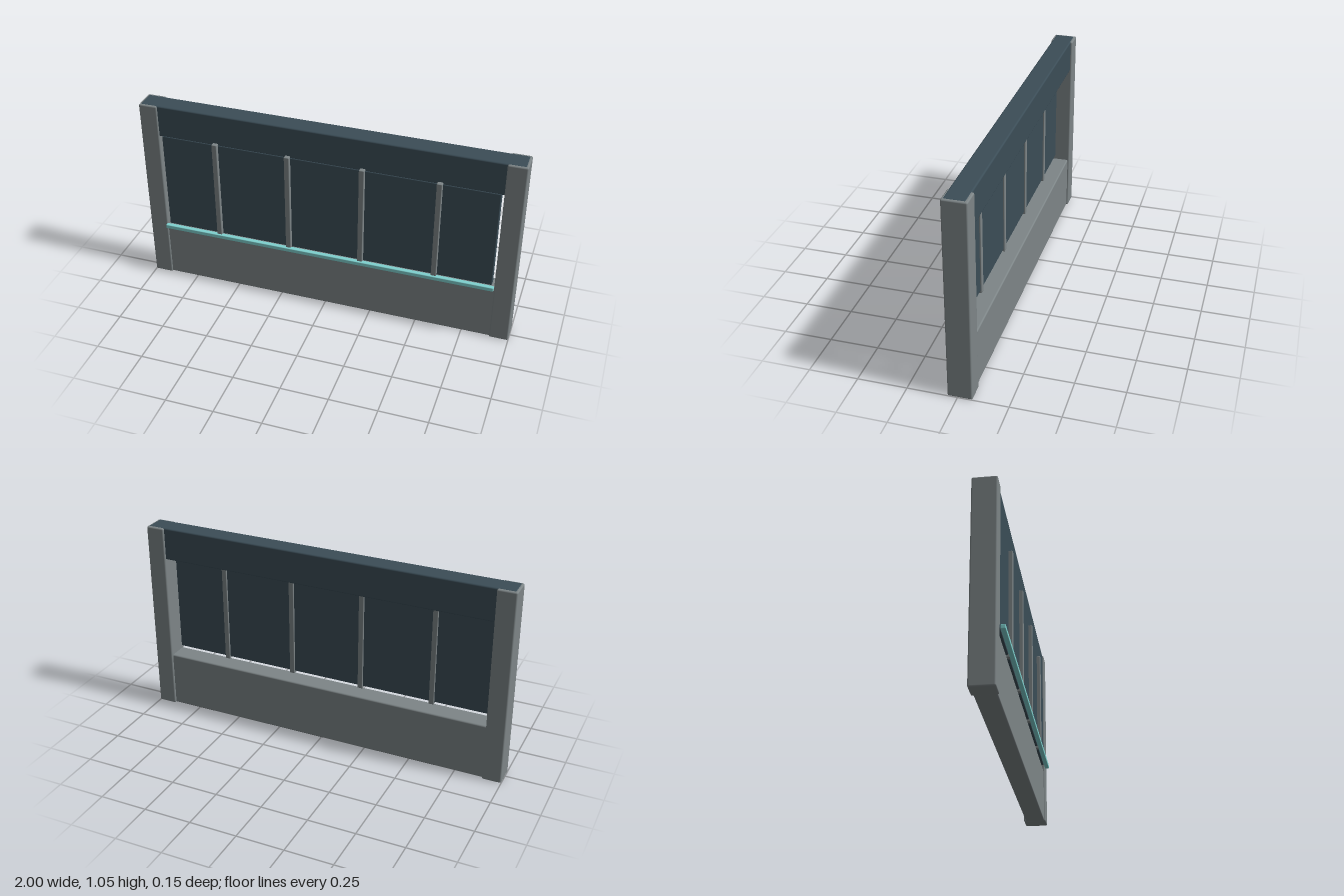
import * as THREE from 'three';
import { RoundedBoxGeometry } from 'three/addons/geometries/RoundedBoxGeometry.js';

export function createModel() {
  const model = new THREE.Group();
  model.name = 'framedWallPanel';

  const makeMaterial = (name, color) => {
    const material = new THREE.MeshStandardMaterial({ color });
    material.name = name;
    return material;
  };
  const grey = makeMaterial('greyMetal', 0x7d8587);
  const slate = makeMaterial('darkSlate', 0x3b4d57);
  const teal = makeMaterial('tealTrim', 0x7fd1cf);

  // Soft-edged box given by its lower and upper limits on each axis
  const block = (name, material, [x0, x1], [y0, y1], [z0, z1], radius) => {
    const geometry = new RoundedBoxGeometry(x1 - x0, y1 - y0, z1 - z0, 2, radius);
    const mesh = new THREE.Mesh(geometry, material);
    mesh.name = name;
    mesh.position.set((x0 + x1) / 2, (y0 + y1) / 2, (z0 + z1) / 2);
    model.add(mesh);
  };

  // End posts
  block('leftPost', grey, [0.9, 1], [0, 1.05], [-0.073, 0.05], 0.008);
  block('rightPost', grey, [-1, -0.9], [0, 1.05], [-0.073, 0.05], 0.008);

  // Lower wall and top beam, both let into the posts
  block('lowerWall', grey, [-0.99, 0.99], [0.002, 0.304], [-0.063, 0.043], 0.008);
  block('topBeam', slate, [-0.992, 0.992], [0.875, 1.0515], [-0.063, 0.043], 0.008);

  // Window pane, standing clear of the posts and the wall
  block('windowPane', slate, [-0.887, 0.887], [0.332, 0.88], [0.008, 0.045], 0.005);

  // Upright bars showing on both faces of the pane
  for (let i = 0; i < 4; i++) {
    const x = (i - 1.5) * 0.392;
    block(`windowBar${i + 1}`, grey, [x - 0.014, x + 0.014], [0.32, 0.89], [0, 0.065], 0.004);
  }

  // Trim strip under the window
  block('trimStrip', teal, [-0.9, 0.9], [0.315, 0.338], [0.052, 0.075], 0.004);

  return model;
}
